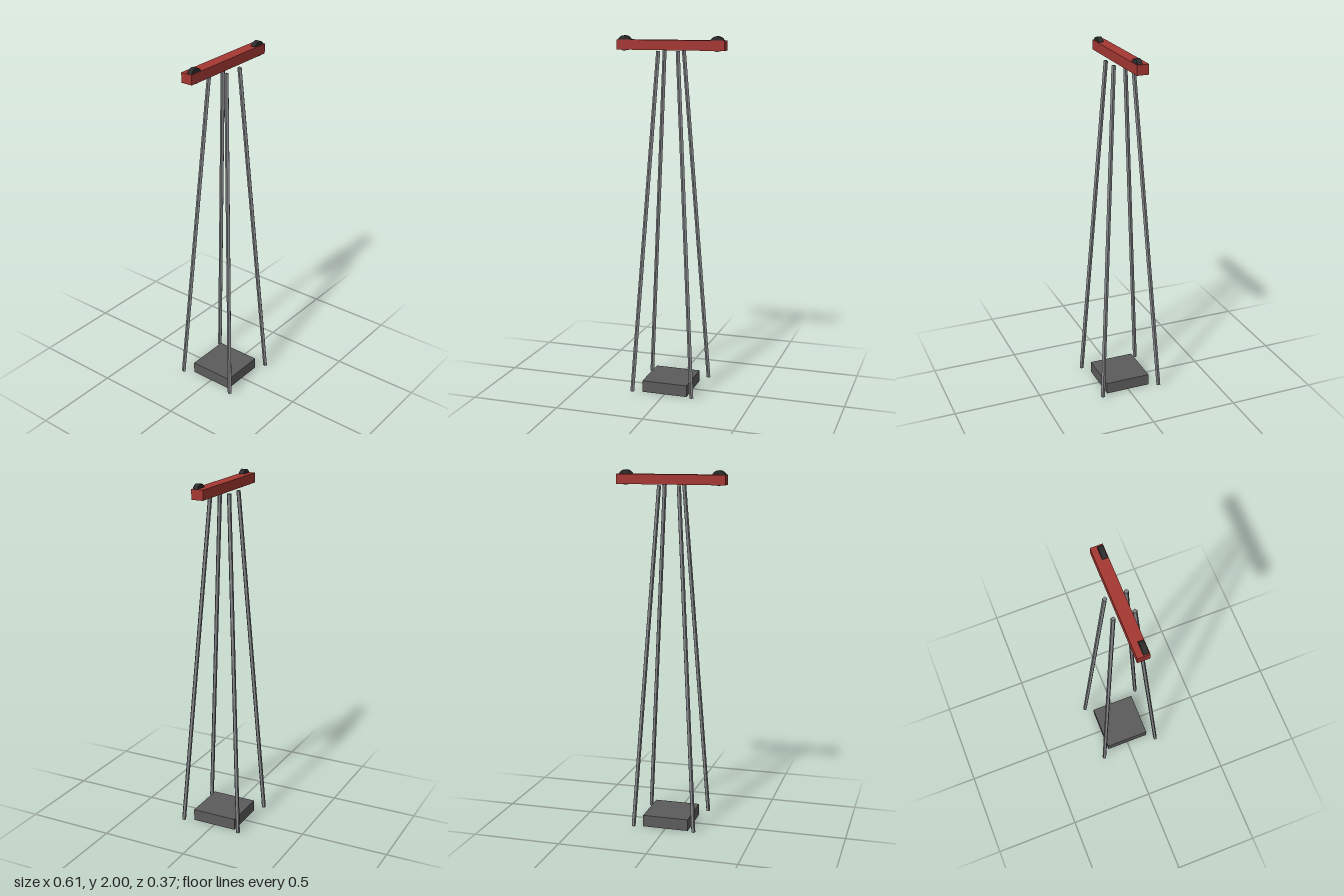
import * as THREE from 'three';

export function createModel() {
  const model = new THREE.Group();
  const mat = (name, color, flatShading = true) => {
    const m = new THREE.MeshStandardMaterial({ color, flatShading });
    m.name = name;
    return m;
  };
  const red = mat('red paint', 0xa53833);
  const concrete = mat('dark grey base', 0x5c5c5c);
  const steel = mat('grey steel', 0x85868a);
  const black = mat('black insulator', 0x2c2c2c, false);

  const add = (name, geometry, material, x, y, z) => {
    const mesh = new THREE.Mesh(geometry, material);
    mesh.name = name;
    mesh.position.set(x, y, z);
    model.add(mesh);
    return mesh;
  };

  // Square base block and the crossbar on top
  add('base', new THREE.BoxGeometry(0.262, 0.066, 0.262), concrete, 0, 0.033, 0);
  add('crossbar', new THREE.BoxGeometry(0.61, 0.054, 0.066), red, 0, 1.95, -0.001);

  // Four five-sided legs leaning in towards the top
  const up = new THREE.Vector3(0, 1, 0);
  for (const sx of [-1, 1]) {
    for (const sz of [-1, 1]) {
      const foot = new THREE.Vector3(sx * 0.175, 0.015, sz * 0.175);
      const head = new THREE.Vector3(sx * 0.055, 1.92, sz * 0.055);
      const dir = head.clone().sub(foot);
      const mid = foot.clone().add(head).multiplyScalar(0.5);
      const leg = add('leg', new THREE.CylinderGeometry(0.012, 0.012, dir.length(), 5), steel, mid.x, mid.y, mid.z);
      leg.quaternion.setFromUnitVectors(up, dir.normalize());
    }
  }

  // Round discs sunk into the top of the crossbar near each end
  for (const sx of [-1, 1]) {
    const disc = new THREE.CylinderGeometry(0.041, 0.041, 0.028, 20).rotateX(Math.PI / 2);
    add('topDisc', disc, black, sx * 0.262, 1.959, 0.013);
  }
  return model;
}
